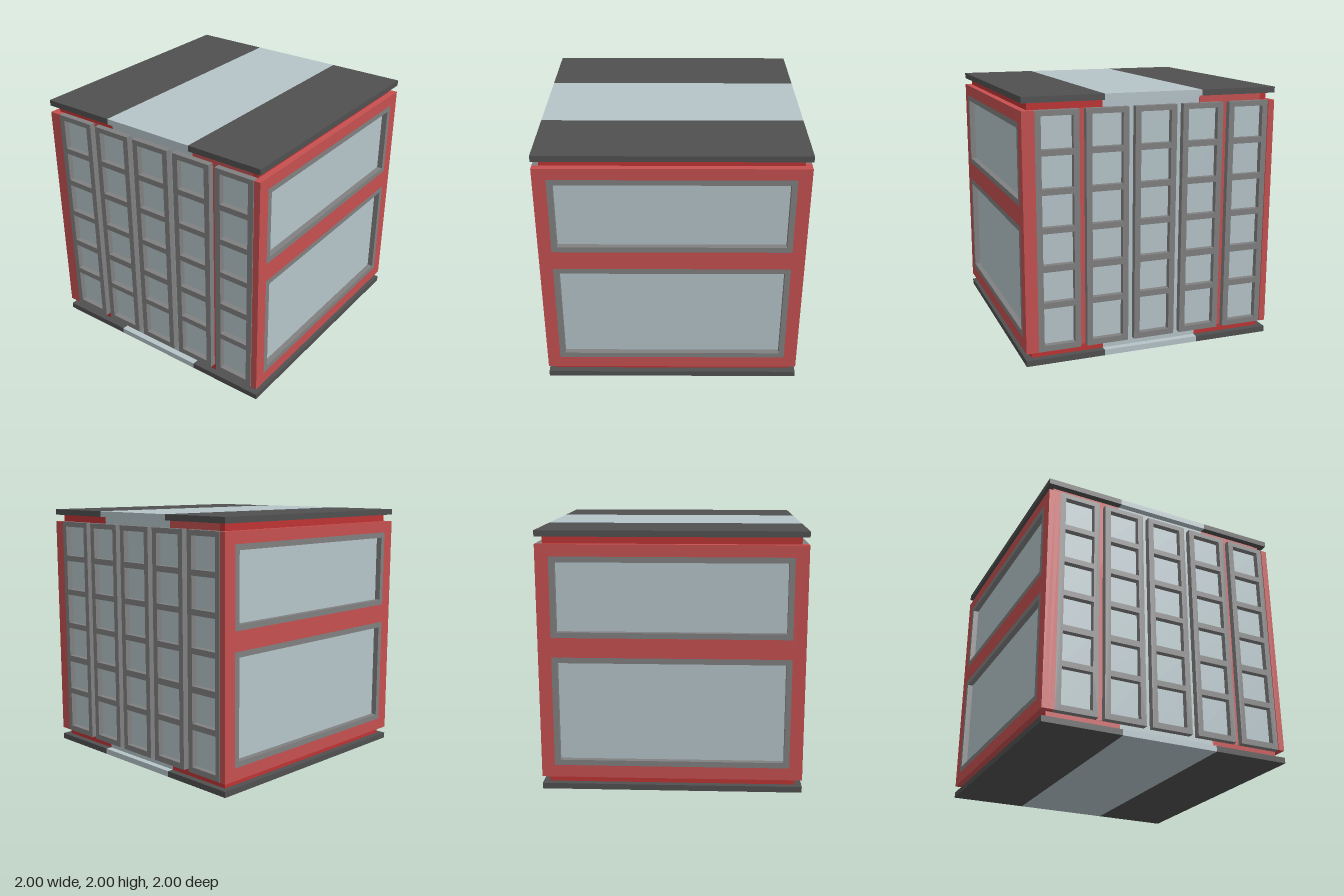
import * as THREE from 'three';

const mat = (name, color) => {
  const m = new THREE.MeshStandardMaterial({ color });
  m.name = name;
  return m;
};

export function createModel() {
  const red = mat('wall red', 0xc55050);
  const deepRed = mat('core red', 0xbe3434);
  const glass = mat('pale glass', 0xb5c4c9);
  const grey = mat('frame grey', 0x808080);
  const dark = mat('slab charcoal', 0x505050);

  const model = new THREE.Group();
  model.name = 'building';

  // Box given by its limits on each axis
  function box(parent, name, material, [x0, x1], [y0, y1], [z0, z1]) {
    const mesh = new THREE.Mesh(new THREE.BoxGeometry(x1 - x0, y1 - y0, z1 - z0), material);
    mesh.position.set((x0 + x1) / 2, (y0 + y1) / 2, (z0 + z1) / 2);
    mesh.name = name;
    parent.add(mesh);
    return mesh;
  }

  function trace(path, [x0, x1, y0, y1]) {
    path.moveTo(x0, y0);
    path.lineTo(x1, y0);
    path.lineTo(x1, y1);
    path.lineTo(x0, y1);
    path.closePath();
    return path;
  }

  // Flat plate from z 0.95 to 1 with rectangular openings
  function plate(parent, name, material, outline, openings) {
    const shape = trace(new THREE.Shape(), outline);
    for (const o of openings) shape.holes.push(trace(new THREE.Path(), o));
    const geo = new THREE.ExtrudeGeometry(shape, { depth: 0.05, bevelEnabled: false });
    const mesh = new THREE.Mesh(geo, material);
    mesh.position.z = 0.95;
    mesh.name = name;
    parent.add(mesh);
  }

  // Core and slabs, each split into side, middle band and side
  const band = 0.385;
  const full = [-1, 1];
  const inner = [-0.95, 0.95];
  box(model, 'coreBand', glass, [-band, band], [0.045, 1.955], inner);
  for (const [name, y] of [['floorSlab', [0, 0.045]], ['roofSlab', [1.955, 2]]]) {
    box(model, name + 'Band', glass, [-band, band], y, full);
    box(model, name + 'Right', dark, [-1, -band], y, full);
    box(model, name + 'Left', dark, [band, 1], y, full);
  }
  box(model, 'coreRight', deepRed, [-0.95, -band], [0.045, 1.955], inner);
  box(model, 'coreLeft', deepRed, [band, 0.95], [0.045, 1.955], inner);

  const columns = [-0.905, -0.525, -0.145, 0.235, 0.615];
  const rows = [[0.145, 0.435], [0.48, 0.715], [0.765, 1.005], [1.05, 1.29], [1.335, 1.575], [1.62, 1.86]];

  // One windowed face plus one side wall; the other half is this turned around
  function half(name) {
    const group = new THREE.Group();
    group.name = name;

    // Corner post and lighter wall surface behind the window columns
    box(group, 'cornerPost', red, [-0.95, -0.905], [0.1, 1.9], [0.95, 1]);
    box(group, 'wallFaceRight', red, [-0.905, -band], [0.1, 1.9], [0.948, 0.952]);
    box(group, 'wallFaceLeft', red, [band, 0.95], [0.1, 1.9], [0.948, 0.952]);
    box(group, 'upperWallStrip', red, [band, 0.9], [1.9, 1.955], [0.948, 0.952]);

    // Window columns
    for (const x of columns) {
      const a = x + 0.045, b = x + 0.285;
      const end = x + 0.335 > 0.95 ? 0.95 : x + 0.33;
      plate(group, 'windowColumnFrame', grey, [x, end, 0.1, 1.9], rows.map(([y0, y1]) => [a, b, y0, y1]));
      for (const r of rows) box(group, 'windowPane', glass, [a, b], r, [0.95, 0.955]);
    }

    // Side wall with two wide windows
    const side = new THREE.Group();
    side.name = 'sideWall';
    side.rotation.y = Math.PI / 2;
    const frames = [[-0.9, 0.9, 0.195, 1.05], [-0.9, 0.9, 1.2, 1.81]];
    plate(side, 'sidePanel', red, [-1, 1, 0.1, 1.9], frames);
    for (const f of frames) {
      const [x0, x1, y0, y1] = [f[0] + 0.043, f[1] - 0.043, f[2] + 0.043, f[3] - 0.043];
      plate(side, 'sideWindowFrame', grey, f, [[x0, x1, y0, y1]]);
      box(side, 'sideWindowPane', glass, [x0, x1], [y0, y1], [0.95, 0.955]);
    }
    group.add(side);
    model.add(group);
    return group;
  }

  half('frontHalf');
  half('backHalf').rotation.y = Math.PI;
  return model;
}
